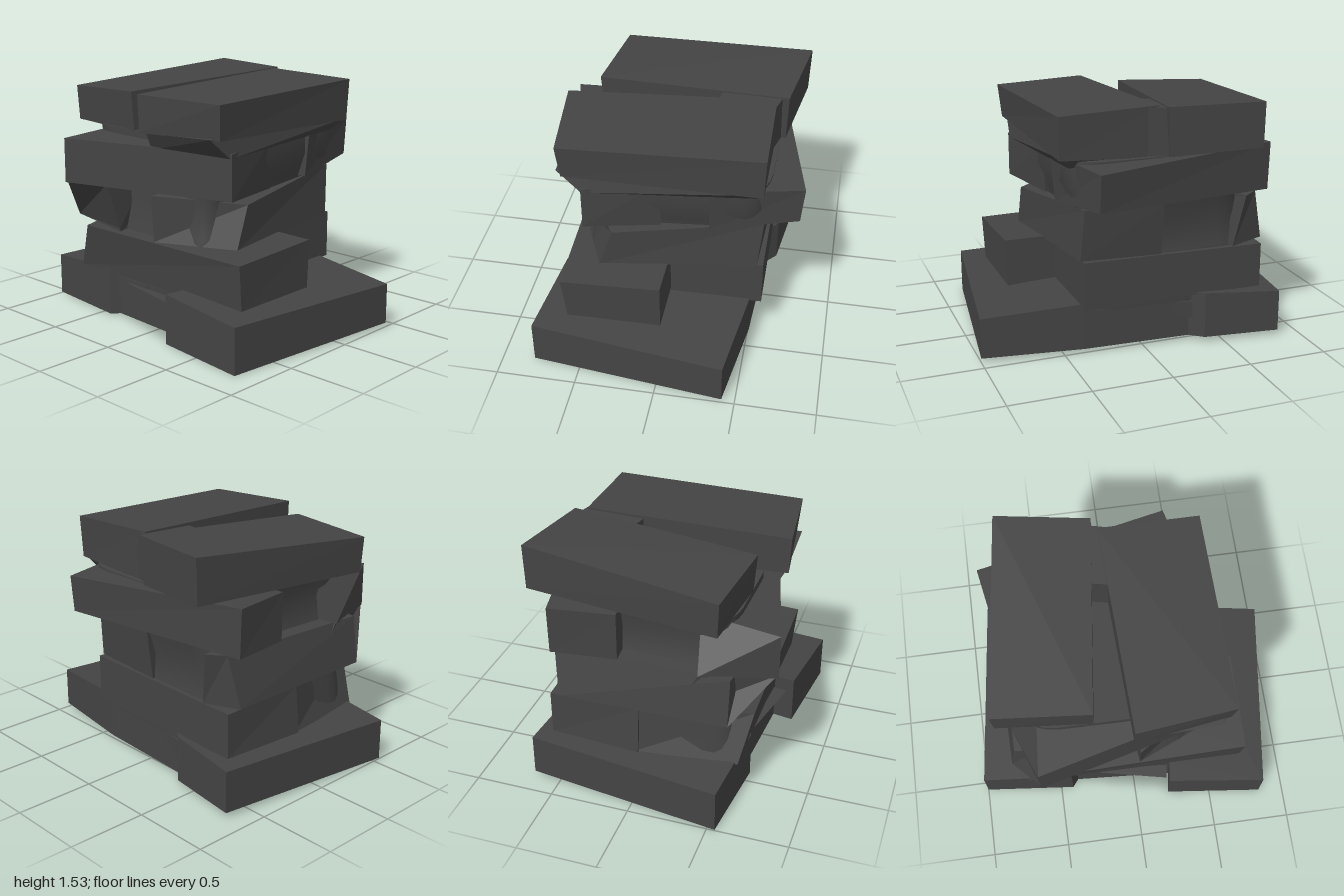
import * as THREE from 'three';

const dark = { color: 0x444444 };
const flat = new THREE.MeshStandardMaterial({ ...dark, flatShading: true });
const smooth = new THREE.MeshStandardMaterial({ ...dark, side: THREE.DoubleSide });

// Irregular block. Corners run front-left, front-right, back-right, back-left;
// low and high hold the height of each corner, and the lower plan may differ.
function slab(name, plan, low, high, lowerPlan = plan) {
  const pts = [
    ...lowerPlan.map(([x, z], i) => [x, low[i], z]),
    ...plan.map(([x, z], i) => [x, high[i], z]),
  ];
  const quads = [[4, 5, 6, 7], [3, 2, 1, 0]];
  for (let i = 0; i < 4; i++) {
    const j = (i + 1) % 4;
    quads.push([i, j, j + 4, i + 4]);
  }
  const pos = [];
  for (const [a, b, c, d] of quads)
    for (const k of [a, b, c, a, c, d]) pos.push(...pts[k]);
  const geo = new THREE.BufferGeometry();
  geo.setAttribute('position', new THREE.Float32BufferAttribute(pos, 3));
  geo.computeVertexNormals();
  const mesh = new THREE.Mesh(geo, flat);
  mesh.name = name;
  return mesh;
}

// Two fused slabs, hollow underneath: a rim wall below a closed roof.
function makeBase() {
  const outline = [[-0.8, 0.84], [0.42, 1], [0.51, 0.38], [0.54, -0.3], [0.61, -0.38], [0.67, -0.86],
    [-0.55, -1], [-0.61, -0.42], [-0.56, -0.38], [-0.6, 0.24], [-0.73, 0.22]];
  const toPoints = (s) => outline.map(([x, z]) => new THREE.Vector2(x * s, -z * s));
  const group = new THREE.Group();
  group.name = 'base';
  const layer = (name, from, to, hollow) => {
    const shape = new THREE.Shape(toPoints(1));
    if (hollow) shape.holes.push(new THREE.Path(toPoints(0.94)));
    const geo = new THREE.ExtrudeGeometry(shape, { depth: to - from, bevelEnabled: false });
    geo.rotateX(-Math.PI / 2);
    geo.translate(0, from, 0);
    // Tilt the underside and let the top sink toward front and back
    const p = geo.attributes.position;
    for (let i = 0; i < p.count; i++) {
      const x = p.getX(i), z = p.getZ(i);
      const low = 0.018 + 0.022 * x;
      const high = 0.325 + 0.01 * x - 0.048 * z * z;
      p.setY(i, low + (high - low) * p.getY(i));
    }
    geo.computeVertexNormals();
    const mesh = new THREE.Mesh(geo, flat);
    mesh.name = name;
    group.add(mesh);
  };
  layer('baseRim', 0, 0.75, true);
  layer('baseRoof', 0.75, 1, false);
  // Underside of the back slab, rising toward the middle
  group.add(slab('baseBackKeel', [[-0.58, -0.1], [0.52, -0.1], [0.64, -0.84], [-0.54, -0.97]],
    [0.2, 0.2, 0.04, 0.03], [0.26, 0.26, 0.26, 0.26]));
  return group;
}

// Worn core that fills the space between the slabs: rounded rectangles joined upward.
function makeCore() {
  // y, left, right, front, back
  const rings = [
    [0.27, -0.59, 0.55, 0.38, -0.72], [0.48, -0.57, 0.56, 0.38, -0.7],
    [0.62, -0.54, 0.54, 0.4, -0.7], [0.76, -0.52, 0.53, 0.38, -0.68],
    [0.92, -0.52, 0.58, 0.42, -0.64], [1.06, -0.54, 0.6, 0.47, -0.62],
    [1.22, -0.54, 0.6, 0.47, -0.66],
  ];
  const n = 32, pos = [], index = [];
  const round = (v) => Math.sign(v) * Math.pow(Math.abs(v), 0.28);
  for (const [y, l, r, f, b] of rings) {
    for (let i = 0; i < n; i++) {
      const a = (i / n) * Math.PI * 2;
      pos.push((l + r) / 2 + ((r - l) / 2) * round(Math.cos(a)), y,
        (f + b) / 2 - ((f - b) / 2) * round(Math.sin(a)));
    }
  }
  for (let k = 0; k < rings.length - 1; k++) {
    for (let i = 0; i < n; i++) {
      const a = k * n + i, b = k * n + ((i + 1) % n);
      index.push(a, b, b + n, a, b + n, a + n);
    }
  }
  // The top cap uses its own corners so the rim stays sharp
  const start = pos.length / 3;
  pos.push(...pos.slice((rings.length - 1) * n * 3));
  for (let i = 1; i < n - 1; i++) index.push(start, start + i, start + i + 1);
  const geo = new THREE.BufferGeometry();
  geo.setAttribute('position', new THREE.Float32BufferAttribute(pos, 3));
  geo.setIndex(index);
  geo.computeVertexNormals();
  const mesh = new THREE.Mesh(geo, smooth);
  mesh.name = 'core';
  return mesh;
}

export function createModel() {
  const model = new THREE.Group();
  model.name = 'slabStack';
  model.add(
    makeBase(),
    makeCore(),
    // Second layer, lying front to back
    slab('secondLeftSlab', [[-0.63, 0.72], [-0.01, 0.72], [0.02, -0.76], [-0.66, -0.57]],
      [0.28, 0.29, 0.3, 0.28], [0.57, 0.6, 0.61, 0.58],
      [[-0.6, 0.71], [-0.01, 0.71], [0.02, -0.79], [-0.6, -0.7]]),
    slab('secondRightSlab', [[0, 0.4], [0.58, 0.4], [0.57, -0.77], [0, -0.77]],
      [0.3, 0.31, 0.31, 0.3], [0.59, 0.61, 0.59, 0.6],
      [[0, 0.4], [0.58, 0.4], [0.57, -0.77], [0, -0.8]]),
    // Third layer, lying across
    slab('thirdFrontSlab', [[-0.34, 0.52], [0.57, 0.39], [0.6, -0.1], [-0.66, 0.03]],
      [0.58, 0.61, 0.6, 0.58], [0.84, 0.93, 0.93, 0.87],
      [[-0.43, 0.52], [0.54, 0.41], [0.56, -0.1], [-0.64, 0.03]]),
    slab('thirdBackSlab', [[-0.62, -0.3], [0.62, -0.63], [0.54, -0.73], [-0.55, -0.74]],
      [0.58, 0.6, 0.61, 0.6], [0.9, 0.93, 0.93, 0.9],
      [[-0.62, -0.3], [0.58, -0.57], [0.5, -0.8], [-0.55, -0.78]]),
    slab('thirdBackBlend', [[-0.72, -0.3], [-0.4, -0.3], [-0.36, -0.75], [-0.79, -0.6]],
      [0.6, 0.6, 0.6, 0.6], [0.9, 0.9, 0.9, 0.9],
      [[-0.62, -0.3], [-0.2, -0.4], [-0.2, -0.77], [-0.55, -0.78]]),
    // Fourth layer, lying front to back and turned apart
    slab('fourthLeftSlab', [[-0.51, 0.55], [-0.05, 0.46], [-0.32, -0.56], [-0.8, -0.6]],
      [0.89, 0.88, 0.9, 0.88], [1.17, 1.2, 1.2, 1.16],
      [[-0.51, 0.55], [-0.05, 0.44], [-0.36, -0.76], [-0.8, -0.6]]),
    slab('fourthRightSlab', [[0.25, 0.5], [0.8, 0.37], [0.53, -0.83], [0.13, -0.76]],
      [0.91, 0.97, 0.93, 0.92], [1.21, 1.2, 1.23, 1.22],
      [[0.25, 0.47], [0.78, 0.37], [0.53, -0.82], [0.13, -0.76]]),
    slab('fourthFrontBlend', [[-0.66, 0.52], [0.56, 0.53], [0.57, 0], [-0.68, 0.02]],
      [1.14, 1.18, 1.18, 1.14], [1.27, 1.25, 1.25, 1.25],
      [[-0.51, 0.54], [0.52, 0.47], [0.5, 0], [-0.62, 0]]),
    // Top layer, lying across with a gap that closes at one end
    slab('topFrontSlab', [[-0.64, 0.58], [0.58, 0.55], [0.57, -0.07], [-0.71, -0.02]],
      [1.26, 1.24, 1.21, 1.25], [1.47, 1.5, 1.52, 1.48],
      [[-0.62, 0.56], [0.57, 0.54], [0.57, -0.07], [-0.7, -0.02]]),
    slab('topBackSlab', [[-0.56, -0.24], [0.64, -0.1], [0.73, -0.68], [-0.5, -0.83]],
      [1.21, 1.22, 1.25, 1.22], [1.46, 1.52, 1.53, 1.44],
      [[-0.54, -0.24], [0.63, -0.12], [0.72, -0.68], [-0.49, -0.82]]),
    slab('topBridge', [[0.2, 0], [0.57, 0], [0.62, -0.2], [0.24, -0.2]],
      [1.18, 1.18, 1.18, 1.18], [1.49, 1.51, 1.51, 1.49]),
  );
  return model;
}
